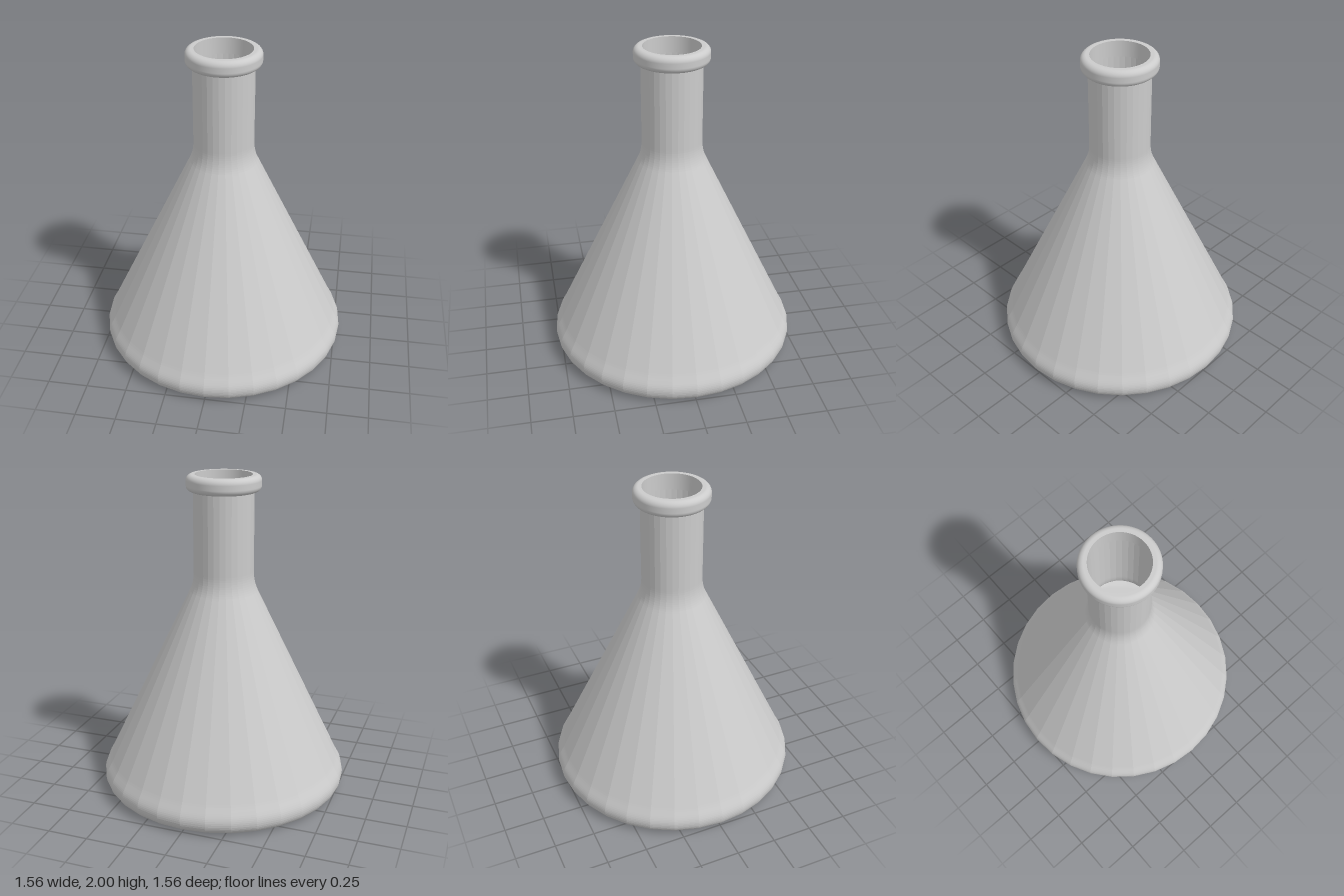
import * as THREE from 'three';

const SIDES = 32;

// Half-profile of the flask wall from the bottom centre up to the neck top
function wallProfile(t) {
  const path = new THREE.Path();
  path.moveTo(0, t);
  path.lineTo(0.69, t);
  path.bezierCurveTo(0.745 - t, t, 0.78 - t, 0.035 + t, 0.78 - t, 0.085);
  path.bezierCurveTo(0.78 - t, 0.125, 0.757 - t, 0.15, 0.735 - t, 0.195);
  path.lineTo(0.215 - t, 1.275);
  path.quadraticCurveTo(0.185 - t, 1.335, 0.185 - t, 1.41);
  path.lineTo(0.185 - t, 1.95);
  return path.getPoints(10);
}

// Rounded ring section for the lip
function lipProfile() {
  const inner = 0.173, outer = 0.227, low = 1.9, high = 2, r = 0.035;
  const path = new THREE.Path();
  path.moveTo(inner, low);
  path.lineTo(outer - r, low);
  path.absarc(outer - r, low + r, r, -Math.PI / 2, 0);
  path.absarc(outer - r, high - r, r, 0, Math.PI / 2);
  path.lineTo(inner, high);
  return path.getPoints(8);
}

export function createModel() {
  const group = new THREE.Group();
  group.name = 'conicalFlask';
  const faceted = new THREE.MeshStandardMaterial({ color: 0xcccccc, flatShading: true });
  const smooth = new THREE.MeshStandardMaterial({ color: 0xcccccc });

  const add = (name, points, sides, material) => {
    const mesh = new THREE.Mesh(new THREE.LatheGeometry(points, sides), material);
    mesh.name = name;
    group.add(mesh);
  };

  // Faceted outer wall with rounded base, and the thin inner wall facing inward
  add('outerWall', wallProfile(0), SIDES, faceted);
  add('innerWall', wallProfile(0.01).reverse(), SIDES, faceted);

  // Smooth rounded lip and the bore through it
  add('lip', lipProfile(), 64, smooth);
  add('lipBore', [new THREE.Vector2(0.173, 2), new THREE.Vector2(0.173, 1.9)], 64, smooth);

  return group;
}
